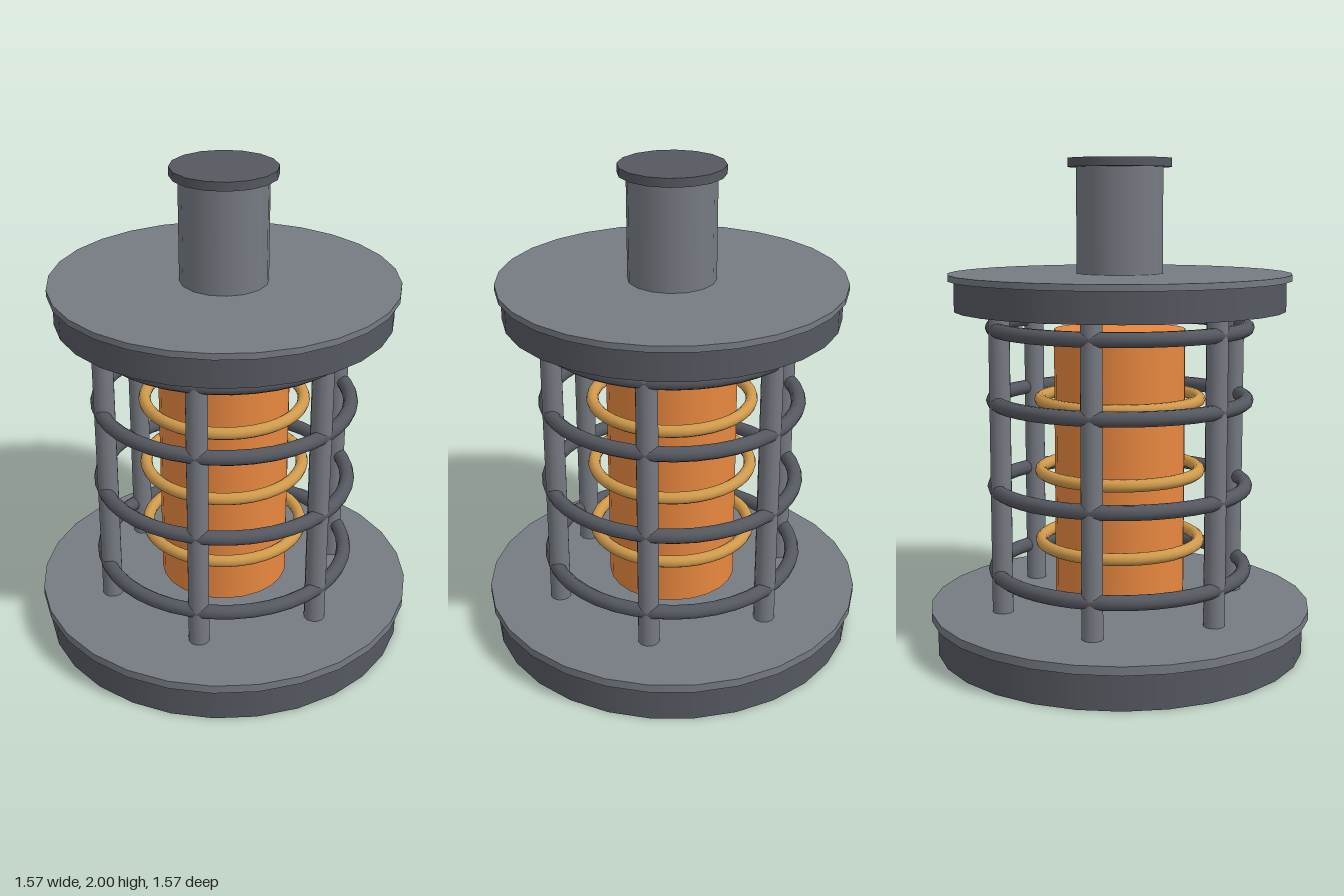
import * as THREE from 'three';

const mat = (color) => new THREE.MeshStandardMaterial({ color });

export function createModel() {
  const model = new THREE.Group();
  const dark = mat(0x555860), steel = mat(0x767a82), orange = mat(0xe8873f), brass = mat(0xd09a4c);

  // Upright cylinder between two heights
  const cylinder = (name, radius, y0, y1, sides, material, x = 0, z = 0) => {
    const mesh = new THREE.Mesh(new THREE.CylinderGeometry(radius, radius, y1 - y0, sides), material);
    mesh.name = name;
    mesh.position.set(x, (y0 + y1) / 2, z);
    model.add(mesh);
  };

  // Horizontal ring
  const ring = (name, radius, tube, y, material) => {
    const mesh = new THREE.Mesh(new THREE.TorusGeometry(radius, tube, 10, 40).rotateX(Math.PI / 2), material);
    mesh.name = name;
    mesh.position.y = y;
    model.add(mesh);
  };

  // Base plate with its rim
  cylinder('base', 0.76, 0, 0.15, 28, dark);
  cylinder('baseRim', 0.785, 0.145, 0.18, 28, steel);

  // Glowing core and the coils around it
  cylinder('core', 0.267, 0.22, 1.32, 24, orange);
  for (const y of [0.445, 0.74, 1.035]) ring('coil', 0.325, 0.025, y, brass);

  // Cage: six posts and four hoops
  for (let i = 0; i < 6; i++) {
    const a = (i * Math.PI) / 3;
    cylinder('cagePost', 0.043, 0.16, 1.42, 12, steel, 0.5 * Math.cos(a), 0.5 * Math.sin(a));
  }
  for (const y of [0.33, 0.68, 1.035, 1.33]) ring('cageHoop', 0.515, 0.03, y, dark);

  // Top plate with its rim
  cylinder('topPlate', 0.67, 1.4, 1.525, 28, dark);
  cylinder('topRim', 0.692, 1.52, 1.545, 28, steel);

  // Neck and cap
  cylinder('neck', 0.176, 1.54, 1.97, 16, steel);
  cylinder('cap', 0.21, 1.965, 2, 16, dark);

  return model;
}
